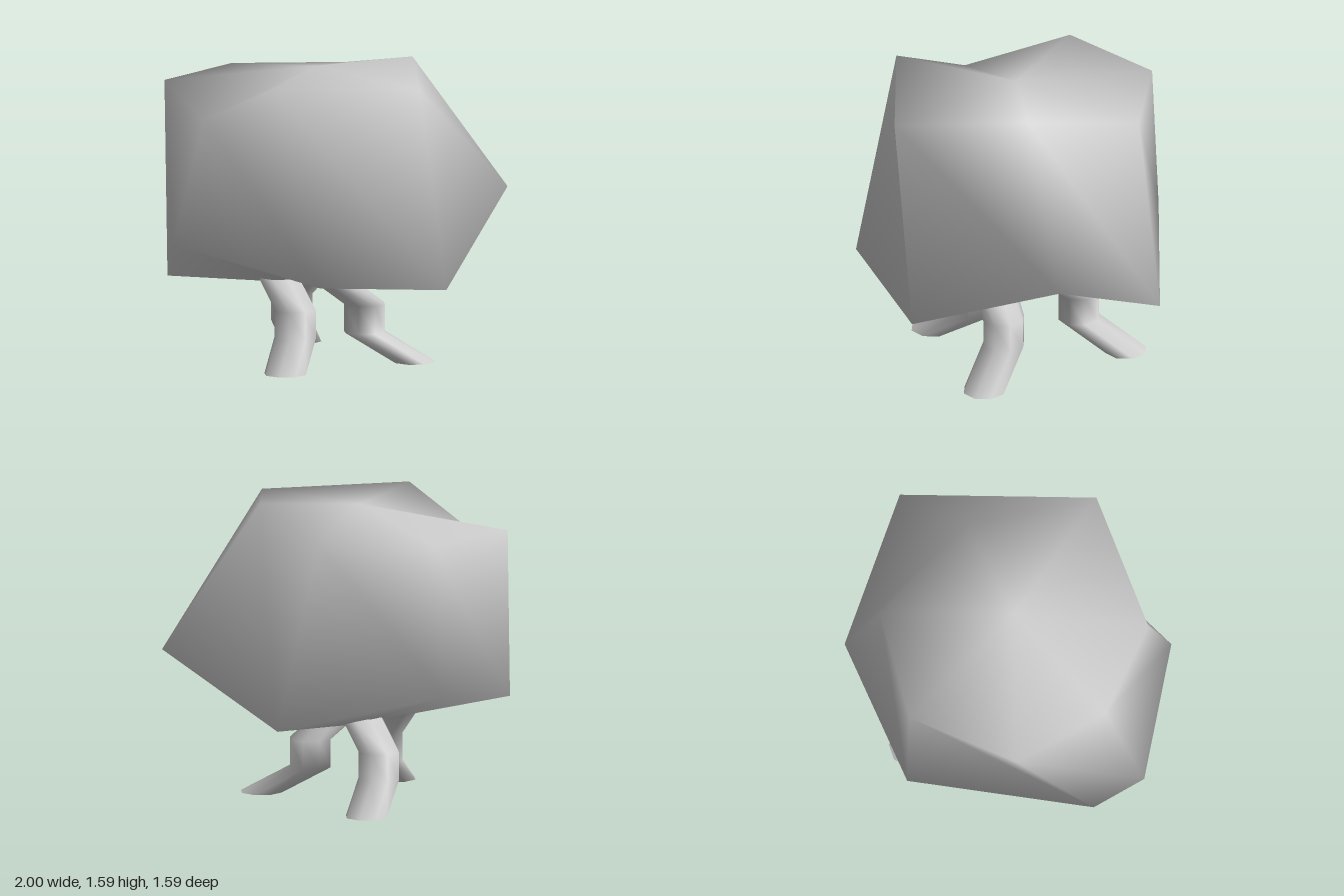
import * as THREE from 'three';

const material = new THREE.MeshStandardMaterial({ color: 0xcccccc });
const LEG_RADIUS = 0.113;
const LEG_SIDES = 8;

// Smooth skin over rings listed bottom to top; a ring of one point is a pole
function loft(rings) {
  const sides = Math.max(...rings.map((ring) => ring.length));
  const starts = [];
  let count = 0;
  for (const ring of rings) {
    starts.push(count);
    count += ring.length;
  }
  const at = (r, i) => starts[r] + (i % rings[r].length);
  const index = [];
  for (let r = 0; r < rings.length - 1; r++) {
    for (let i = 0; i < sides; i++) {
      const b0 = at(r, i), b1 = at(r, i + 1);
      const t0 = at(r + 1, i), t1 = at(r + 1, i + 1);
      if (b0 !== b1) index.push(b0, b1, t0);
      if (t0 !== t1) index.push(b1, t1, t0);
    }
  }
  const geometry = new THREE.BufferGeometry();
  geometry.setAttribute('position', new THREE.Float32BufferAttribute(rings.flat(2), 3));
  geometry.setIndex(index);
  geometry.computeVertexNormals();
  return new THREE.Mesh(geometry, material);
}

// Irregular seven-sided crown: pole, lower ring, upper ring, pole
function makeCrown() {
  const crown = loft([
    [[-0.03, 0.39, 0]],
    [
      [0.31, 0.44, 0.75], [1, 0.85, 0.17], [0.65, 0.5, -0.51], [-0.19, 0.665, -0.795],
      [-0.89, 0.49, -0.105], [-1, 0.7, 0.15], [-0.47, 0.52, 0.79],
    ],
    [
      [0.13, 1.525, 0.785], [0.44, 1.585, 0.15], [0.4, 1.465, -0.48], [-0.15, 1.465, -0.745],
      [-0.7, 1.46, -0.48], [-0.77, 1.34, 0.08], [-0.6, 1.55, 0.52],
    ],
    [[-0.09, 1.56, 0.03]],
  ]);
  crown.name = 'crown';
  return crown;
}

// Bent leg: level rings along a path from foot to top, with a flat sole
function makeLeg(name, path) {
  const leg = new THREE.Group();
  leg.name = name;
  const tube = loft(path.map(([x, y, z]) => Array.from({ length: LEG_SIDES }, (_, i) => {
    const a = (i / LEG_SIDES) * Math.PI * 2;
    return [x + LEG_RADIUS * Math.sin(a), y, z + LEG_RADIUS * Math.cos(a)];
  })));
  tube.name = 'legTube';
  const sole = new THREE.Mesh(new THREE.CircleGeometry(LEG_RADIUS, LEG_SIDES), material);
  sole.rotation.x = Math.PI / 2;
  sole.position.set(...path[0]);
  sole.name = 'sole';
  leg.add(tube, sole);
  return leg;
}

export function createModel() {
  const model = new THREE.Group();
  model.name = 'crownOnLegs';
  model.add(makeCrown());
  model.add(makeLeg('frontRightLeg', [
    [-0.45, 0, 0.375], [-0.282, 0.15, 0.18], [-0.282, 0.3, 0.18], [-0.282, 0.45, 0],
  ]));
  model.add(makeLeg('frontLeftLeg', [
    [0.335, 0, 0.358], [0.135, 0.15, 0.18], [0.135, 0.3, 0.18], [-0.07, 0.45, 0.18],
  ]));
  model.add(makeLeg('backLeg', [
    [0.13, 0, -0.5], [-0.037, 0.15, -0.297], [-0.037, 0.3, -0.297], [-0.037, 0.45, -0.08],
  ]));
  return model;
}
